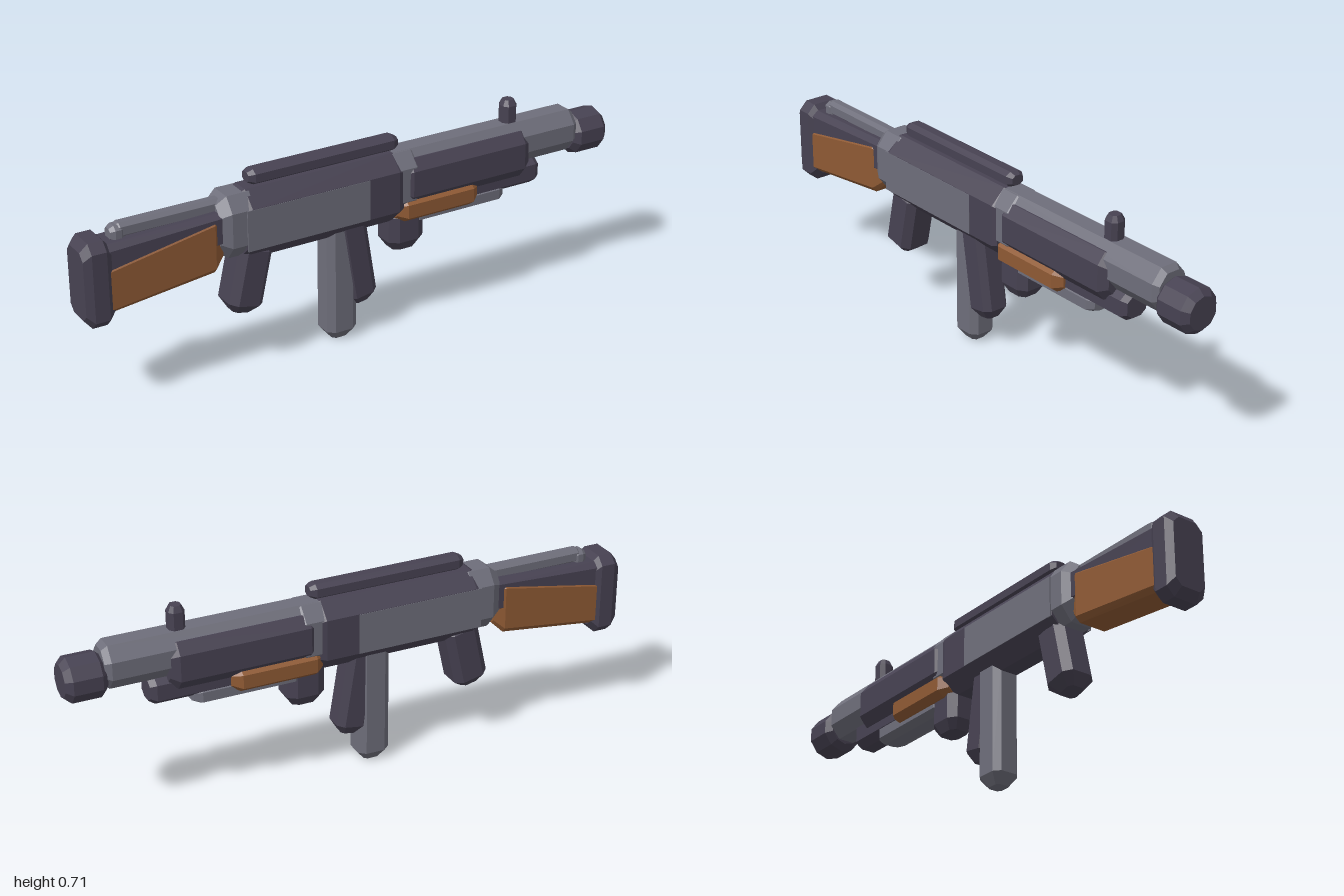
import * as THREE from 'three';
import { ConvexGeometry } from 'three/addons/geometries/ConvexGeometry.js';

const steel = new THREE.MeshStandardMaterial({ name: 'steel grey', color: 0x6e6e7a });
const dark = new THREE.MeshStandardMaterial({ name: 'dark gunmetal', color: 0x474252 });
const wood = new THREE.MeshStandardMaterial({ name: 'wood', color: 0x8f5a34 });

// Convex solid through octagonal rings [x, y0, y1, halfWidth] with chamfer fractions cy, cz
function hull(rings, cy, cz) {
  const points = [];
  for (const [x, y0, y1, w] of rings) {
    const mid = (y0 + y1) / 2, h = (y1 - y0) / 2;
    for (const sy of [-1, 1]) for (const sz of [-1, 1]) {
      points.push(new THREE.Vector3(x, mid + sy * h, sz * w * (1 - cz)));
      points.push(new THREE.Vector3(x, mid + sy * h * (1 - cy), sz * w));
    }
  }
  return new ConvexGeometry(points);
}

// Bar along x whose ends shrink by k over the length end
function bar(x0, x1, y0, y1, w, { end = 0.03, k = 0.65, cy = 0.45, cz = 0.55 } = {}) {
  const mid = (y0 + y1) / 2, h = (y1 - y0) / 2 * k;
  return hull([
    [x0, mid - h, mid + h, w * k], [x0 + end, y0, y1, w],
    [x1 - end, y0, y1, w], [x1, mid - h, mid + h, w * k],
  ], cy, cz);
}

// Bar hanging down from the origin
function post(length, width, w, options) {
  return bar(0, length, -width / 2, width / 2, w, options).rotateZ(-Math.PI / 2);
}

export function createModel() {
  const model = new THREE.Group();
  model.name = 'longGun';
  const add = (name, geometry, material, x = 0, y = 0, z = 0, tilt = 0) => {
    const mesh = new THREE.Mesh(geometry, material);
    mesh.name = name;
    mesh.position.set(x, y, z);
    mesh.rotation.z = tilt;
    model.add(mesh);
  };

  // Shoulder stock
  add('buttPad', bar(-1, -0.9, 0.3, 0.592, 0.073, { end: 0.025, k: 0.8, cy: 0.2, cz: 0.4 }), dark);
  add('stockTop', hull([[-0.94, 0.42, 0.572, 0.062], [-0.52, 0.47, 0.585, 0.062]], 0.25, 0.35), dark);
  add('stock', hull([
    [-0.93, 0.34, 0.5, 0.066], [-0.55, 0.385, 0.572, 0.066], [-0.515, 0.42, 0.555, 0.045],
  ], 0.2, 0.25), wood);
  add('stockRod', bar(-0.87, -0.48, 0.57, 0.62, 0.026, { end: 0.015 }), steel);
  add('stockRodKnob', bar(-0.888, -0.838, 0.558, 0.615, 0.03, { end: 0.015 }), steel);

  // Receiver
  add('receiverRear', bar(-0.53, -0.38, 0.415, 0.632, 0.078, { end: 0.035, k: 0.75, cz: 0.5 }), steel);
  add('receiver', bar(-0.445, 0.145, 0.39, 0.637, 0.083, { end: 0.02, k: 0.92, cy: 0.42, cz: 0.62 }), dark);
  for (const side of [1, -1]) {
    add('receiverPanel', new THREE.BoxGeometry(0.455, 0.142, 0.004), steel, -0.2175, 0.513, side * 0.0825);
  }
  add('topRail', bar(-0.405, 0.155, 0.638, 0.69, 0.033, { end: 0.02 }), dark);
  add('receiverFront', bar(0.1, 0.22, 0.42, 0.634, 0.078, { end: 0.025, k: 0.85 }), steel);

  // Barrel and muzzle
  add('barrel', bar(0.1, 0.87, 0.485, 0.635, 0.067, { end: 0.02, k: 0.8, cy: 0.6 }), steel);
  const muzzle = new THREE.LatheGeometry([
    [0, 0], [0.056, 0], [0.077, 0.022], [0.077, 0.118], [0.056, 0.14], [0, 0.14],
  ].map(([r, y]) => new THREE.Vector2(r, y)), 10).toNonIndexed();
  muzzle.computeVertexNormals();
  add('muzzle', muzzle.rotateY(Math.PI / 10 * 5).rotateZ(-Math.PI / 2), dark, 0.86, 0.533);
  add('frontSight', post(0.11, 0.055, 0.028, { end: 0.02 }), dark, 0.612, 0.715);

  // Fore-end
  add('handguard', bar(0.15, 0.662, 0.445, 0.61, 0.085, { end: 0.03, k: 0.75, cy: 0.45, cz: 0.35 }), dark);
  add('lowerTube', bar(0.2, 0.722, 0.393, 0.492, 0.053, { end: 0.02, k: 0.75 }), dark);
  add('lowerRod', bar(0.2, 0.575, 0.362, 0.425, 0.055, { end: 0.025, k: 0.7 }), steel);
  add('foreGrip', bar(0.13, 0.452, 0.39, 0.476, 0.086, { end: 0.03, k: 0.7, cz: 0.3 }), wood);
  add('foreGripStop', post(0.16, 0.135, 0.055, { end: 0.035, cz: 0.4 }), dark, 0.182, 0.435, 0);

  // Grip and magazines
  const handle = { end: 0.035, k: 0.5, cy: 0.4, cz: 0.4 };
  add('pistolGrip', post(0.26, 0.125, 0.062, handle), dark, -0.387, 0.455, 0, -0.22);
  add('magazine', post(0.46, 0.113, 0.05, handle), steel, -0.068, 0.46, -0.002);
  add('spareMagazine', post(0.345, 0.11, 0.05, handle), dark, -0.038, 0.455, 0.002, 0.16);

  return model;
}
